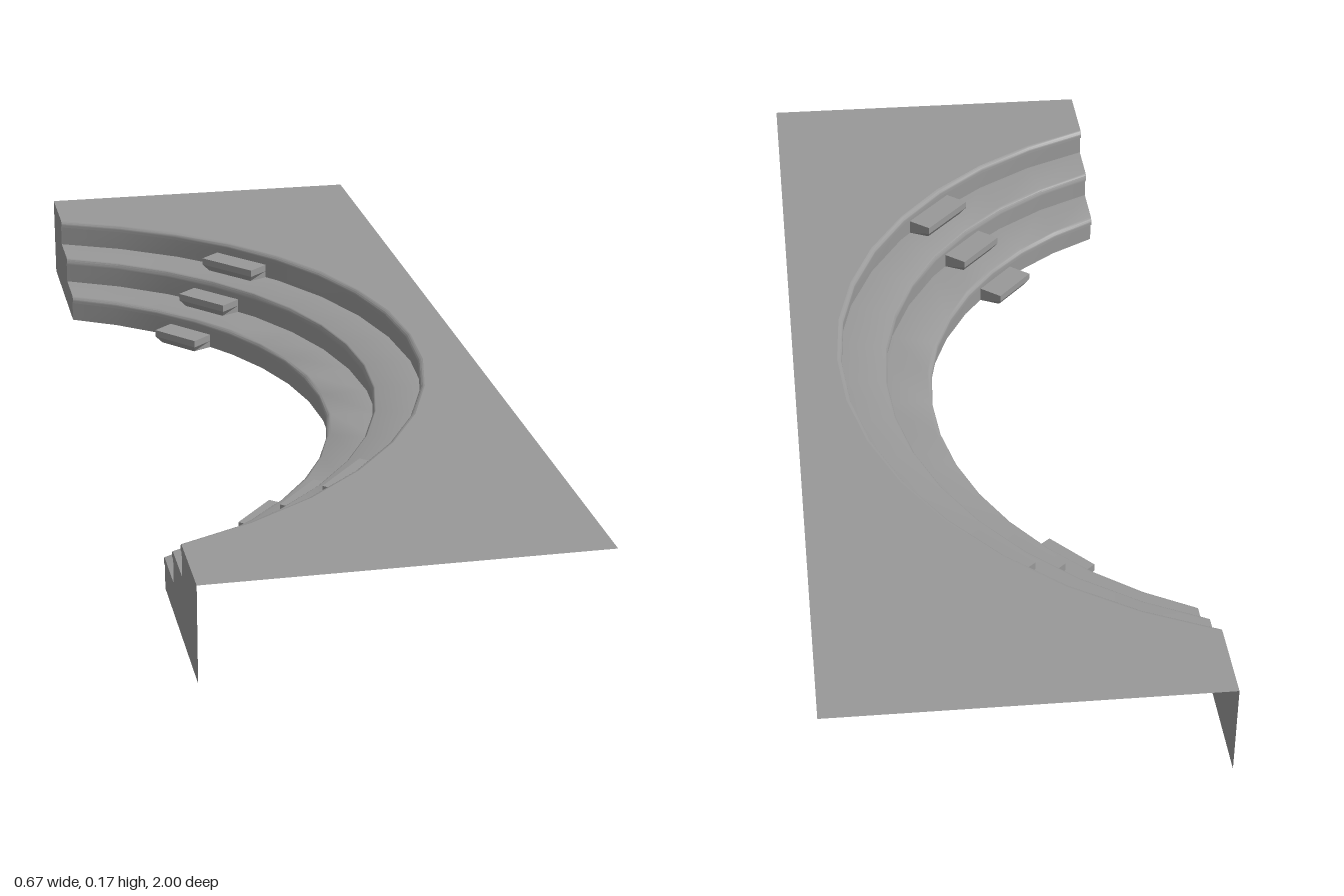
import * as THREE from 'three';
import { toCreasedNormals } from 'three/addons/utils/BufferGeometryUtils.js';

const HALF_W = 0.333, HALF_L = 1, CX = -0.6665, STEP = 0.0557, SEG = 16;
const RISERS = [0.7445, 0.831, 0.917];
const CUT = -HALF_W - CX; // distance from arc centre to the cut end

const material = new THREE.MeshStandardMaterial({ color: 0x999999, side: THREE.DoubleSide });

// Riser and rounded nosing of one step: [radius, height]
function stepProfile(i) {
  const r = RISERS[i], y = i * STEP, overhang = 0.0095, round = 0.009;
  const points = [[r, y], [r, y + 0.042], [r - overhang, y + 0.042]];
  for (let k = 0; k <= 4; k++) {
    const a = (k * Math.PI) / 8;
    points.push([r - overhang + round * (1 - Math.cos(a)), y + STEP - round * (1 - Math.sin(a))]);
  }
  return points;
}

// Points of an arc about the centre, clipped at the cut end
function arc(r, y) {
  const end = Math.acos(CUT / r), points = [];
  for (let i = 0; i <= SEG; i++) {
    const t = -end + (2 * end * i) / SEG;
    points.push(new THREE.Vector3(CX + r * Math.cos(t), y, r * Math.sin(t)));
  }
  return points;
}

// Surface swept from a radial profile
function sweep(profile) {
  const positions = [], index = [], n = SEG + 1;
  for (const [r, y] of profile) for (const p of arc(r, y)) positions.push(p.x, p.y, p.z);
  for (let j = 0; j < profile.length - 1; j++) {
    for (let i = 0; i < SEG; i++) {
      const a = j * n + i, b = a + 1, c = b + n, d = a + n;
      index.push(a, b, c, a, c, d);
    }
  }
  const g = new THREE.BufferGeometry();
  g.setAttribute('position', new THREE.Float32BufferAttribute(positions, 3));
  g.setIndex(index);
  return toCreasedNormals(g, 0.6);
}

// Half-height block with an upright front edge that leans in towards its foot
function blockGeometry(length) {
  const depth = 0.05, height = STEP / 2, gap = 0.004;
  const g = new THREE.BoxGeometry(depth, height, length, 1, 2, 1).toNonIndexed();
  const p = g.attributes.position;
  for (let i = 0; i < p.count; i++) {
    if (p.getY(i) < -0.001 && p.getX(i) < 0) {
      p.setX(i, p.getX(i) + 0.01);
      p.setZ(i, p.getZ(i) - Math.sign(p.getZ(i)) * 0.01);
    }
  }
  g.computeVertexNormals();
  return g.translate(-depth / 2 - gap, height / 2, 0);
}

export function createModel() {
  const group = new THREE.Group();
  const add = (name, geometry) => {
    const mesh = new THREE.Mesh(geometry, material);
    mesh.name = name;
    group.add(mesh);
    return mesh;
  };

  const profiles = RISERS.map((_, i) => stepProfile(i));
  const outline = profiles.flat();
  const [topR, topY] = outline[outline.length - 1];

  // Curved steps: riser, nosing and the tread reaching back to the next riser
  profiles.forEach((profile, i) => {
    const tread = i < 2 ? [profiles[i + 1][0]] : [];
    add('step' + (i + 1), sweep([...profile, ...tread]));
  });

  // Flat top floor around the arc
  const floor = new THREE.Shape([
    ...arc(topR, 0).map((p) => new THREE.Vector2(p.x, p.z)),
    new THREE.Vector2(-HALF_W, HALF_L), new THREE.Vector2(HALF_W, HALF_L),
    new THREE.Vector2(HALF_W, -HALF_L), new THREE.Vector2(-HALF_W, -HALF_L),
  ]);
  add('topFloor', new THREE.ShapeGeometry(floor).rotateX(-Math.PI / 2).translate(0, topY, 0));

  for (const side of [1, -1]) {
    const sideName = side > 0 ? 'Front' : 'Back';

    // Stepped wall closing the cut end
    const wall = new THREE.Shape([
      ...outline.map(([r, y]) => new THREE.Vector2(side * Math.sqrt(r * r - CUT * CUT), y)),
      new THREE.Vector2(side * HALF_L, topY), new THREE.Vector2(side * HALF_L, 0),
    ]);
    add('endWall' + sideName,
      new THREE.ShapeGeometry(wall).rotateY(-Math.PI / 2).translate(-HALF_W, 0, 0));

    // Half-step blocks along the stairway
    const angle = side * THREE.MathUtils.degToRad(40.7);
    RISERS.forEach((r, i) => {
      const block = add('stairBlock' + sideName + (i + 1), blockGeometry(0.108 + 0.013 * i));
      block.position.set(CX + r * Math.cos(angle), i * STEP, r * Math.sin(angle));
      block.rotation.y = -angle;
    });
  }
  return group;
}
